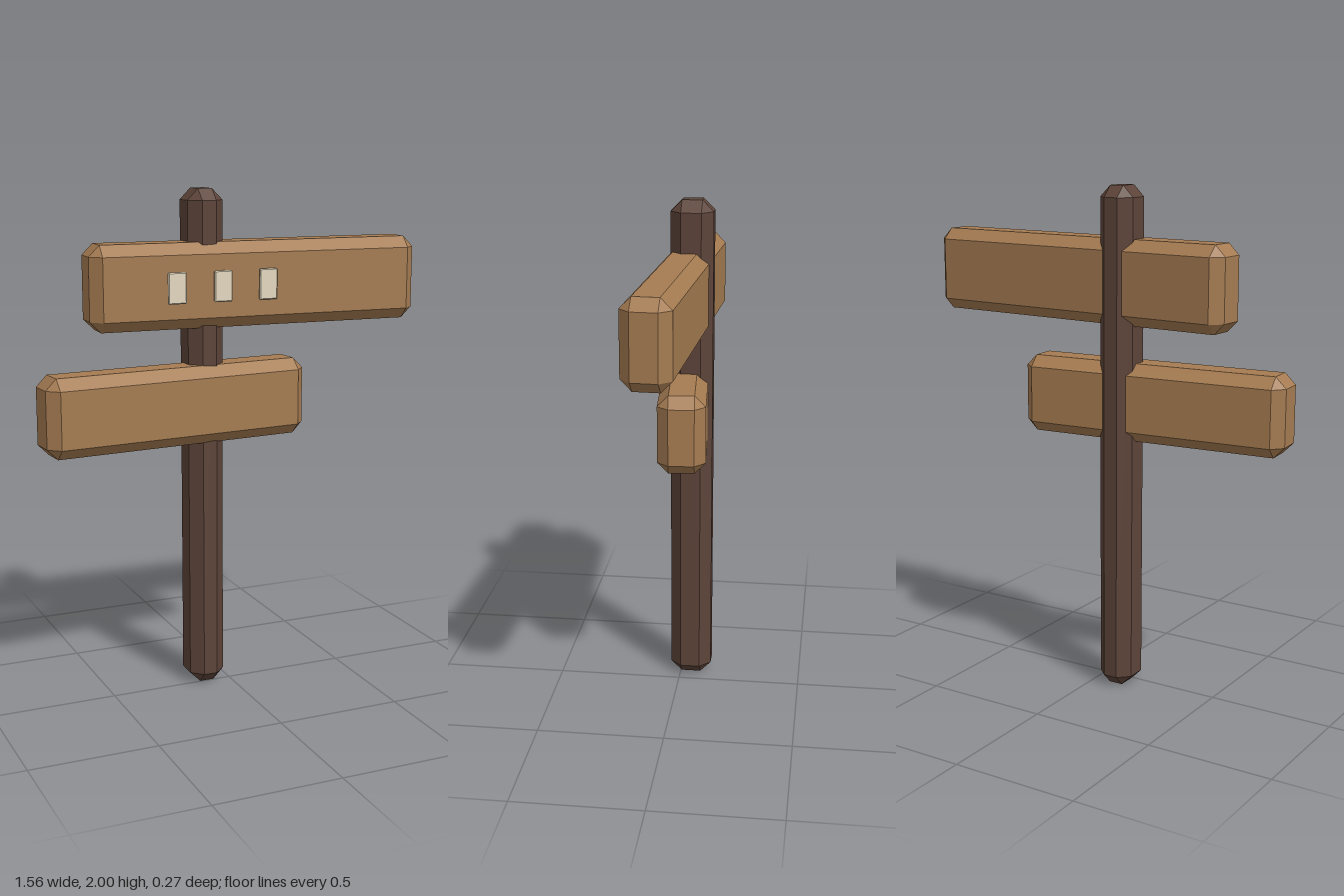
import * as THREE from 'three';
import { ConvexGeometry } from 'three/addons/geometries/ConvexGeometry.js';

// Box with every edge chamfered by c and triangular corner facets
function chamferBox(w, h, d, c) {
  const points = [];
  for (const sx of [-1, 1]) for (const sy of [-1, 1]) for (const sz of [-1, 1]) {
    for (let axis = 0; axis < 3; axis++) {
      const half = [w / 2, h / 2, d / 2].map((v, i) => (i === axis ? v : v - c));
      points.push(new THREE.Vector3(sx * half[0], sy * half[1], sz * half[2]));
    }
  }
  return new ConvexGeometry(points);
}

export function createModel() {
  const group = new THREE.Group();
  const material = (color) => new THREE.MeshStandardMaterial({ color, flatShading: true });
  const darkWood = material(0x5d4439);
  const lightWood = material(0xa67c52);
  const cream = material(0xe4d8bf);

  const add = (name, size, chamfer, mat, position, turn = 0) => {
    const mesh = new THREE.Mesh(chamferBox(...size, chamfer), mat);
    mesh.name = name;
    mesh.position.set(...position);
    mesh.rotation.y = turn;
    group.add(mesh);
  };

  // Upright post
  add('post', [0.145, 2, 0.167], 0.044, darkWood, [-0.098, 1, -0.043]);

  // Two boards, each turned slightly about the post
  add('upperBoard', [1.35, 0.33, 0.185], 0.043, lightWood, [0.105, 1.635, -0.009], -0.05);
  add('lowerBoard', [1.1, 0.308, 0.185], 0.043, lightWood, [-0.231, 1.17, -0.002], 0.08);

  // Pale plaques in front of the upper board
  for (let i = 0; i < 3; i++) {
    add('plaque' + (i + 1), [0.075, 0.12, 0.012], 0.004, cream, [-0.253 + i * 0.189, 1.636, 0.095]);
  }
  return group;
}
